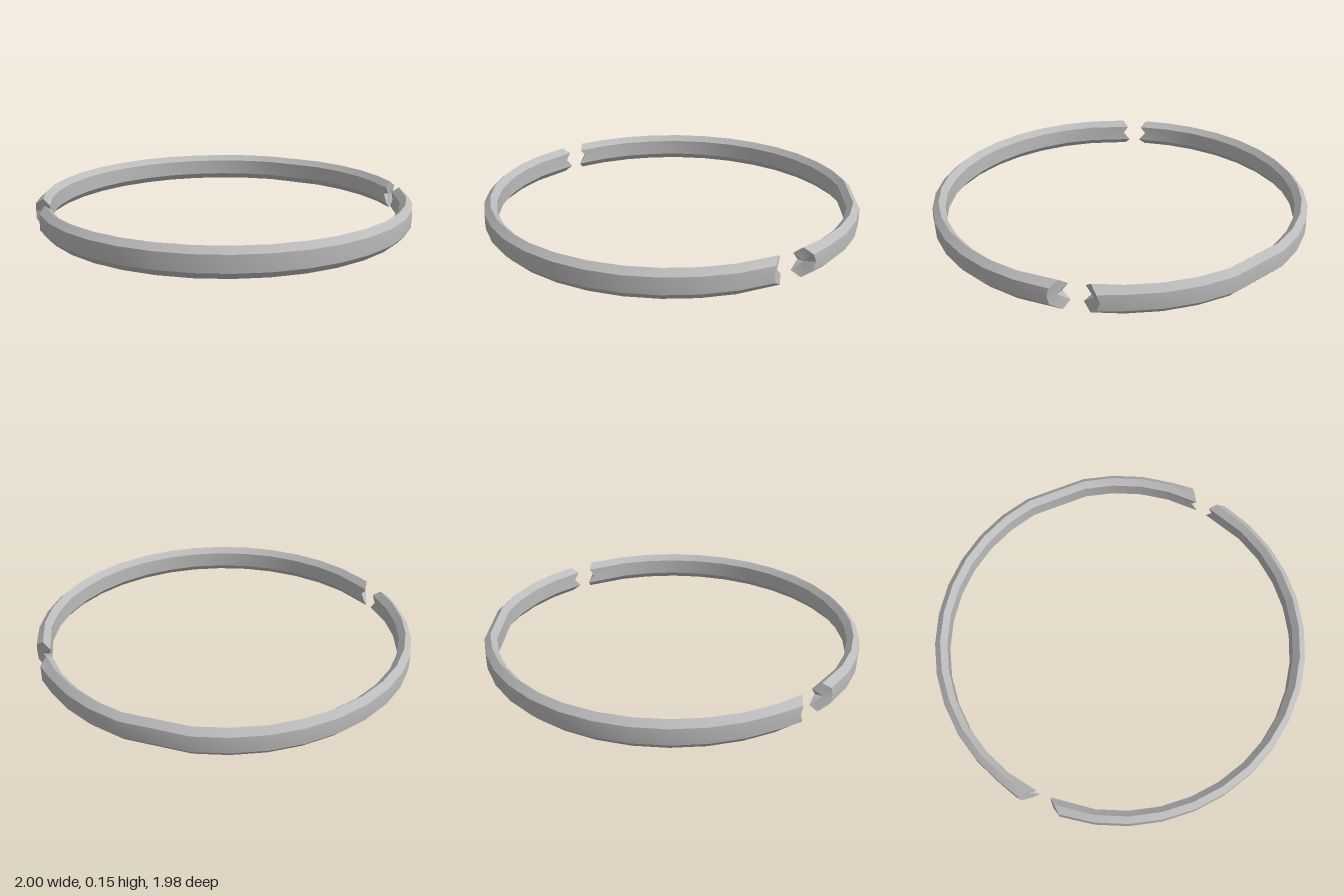
import * as THREE from 'three';
import { toCreasedNormals } from 'three/addons/utils/BufferGeometryUtils.js';

// Ring cross-section [radius, height]: hexagon with a middle point on each wall
const SECTION = [
  [0.99, 0.035], [0.992, 0.08], [0.99, 0.12], [0.957, 0.15],
  [0.925, 0.12], [0.925, 0.08], [0.925, 0.035], [0.957, 0],
];
const N = SECTION.length;

// Where each section point stops along z at the broken ends
const FRONT_END = [0.165, 0.176, 0.165, 0.125, 0.09, 0.117, 0.08, 0.11];
const BACK_END = [-0.05, -0.065, -0.05, -0.02, 0.01, -0.02, 0.02, -0.015];

// Half ring on one side of z; angles are degrees from the z axis towards +x
function halfRing(dir, angles, endZ, centreZ, flare) {
  const brokenEnd = (side) => SECTION.map(([r, y], i) => {
    const radius = i < 3 ? r + flare : r;
    return [side * Math.sqrt(radius * radius - endZ[i] * endZ[i]), y, endZ[i]];
  });
  const loops = [
    brokenEnd(-1),
    ...angles.map((deg) => {
      const a = THREE.MathUtils.degToRad(deg);
      return SECTION.map(([r, y]) => [r * Math.sin(a), y, dir * r * Math.cos(a)]);
    }),
    brokenEnd(1),
  ];
  const positions = loops.flat(2);
  const index = [];
  const tri = (a, b, c) => (dir > 0 ? index.push(a, b, c) : index.push(a, c, b));

  // Walls between neighbouring sections
  for (let s = 0; s < loops.length - 1; s++) {
    for (let i = 0; i < N; i++) {
      const j = (i + 1) % N;
      const a = s * N + i, b = s * N + j, c = a + N, d = b + N;
      tri(a, c, d);
      tri(a, d, b);
    }
  }

  // Jagged caps fanned from a centre point
  const last = (loops.length - 1) * N;
  for (const side of [-1, 1]) {
    const centre = positions.length / 3;
    positions.push(side * 0.952, 0.077, centreZ);
    for (let i = 0; i < N; i++) {
      const j = (i + 1) % N;
      if (side < 0) tri(centre, i, j);
      else tri(centre, last + j, last + i);
    }
  }

  const geometry = new THREE.BufferGeometry();
  geometry.setAttribute('position', new THREE.Float32BufferAttribute(positions, 3));
  geometry.setIndex(index);
  return toCreasedNormals(geometry, 0.45);
}

export function createModel() {
  const group = new THREE.Group();
  group.name = 'brokenRing';
  const metal = new THREE.MeshStandardMaterial({ color: 0xbbbbbb });
  metal.name = 'grey metal';

  const steps = (limit) => Array.from({ length: limit / 5 + 1 }, (_, i) => i * 10 - limit);

  const front = new THREE.Mesh(halfRing(1, steps(70), FRONT_END, 0.135, 0), metal);
  front.name = 'frontHalf';

  // The back half has one longer, flatter stretch on its +x side
  const backAngles = steps(80).filter((deg) => deg !== 40);
  const back = new THREE.Mesh(halfRing(-1, backAngles, BACK_END, -0.03, 0.008), metal);
  back.name = 'backHalf';

  group.add(front, back);
  return group;
}
